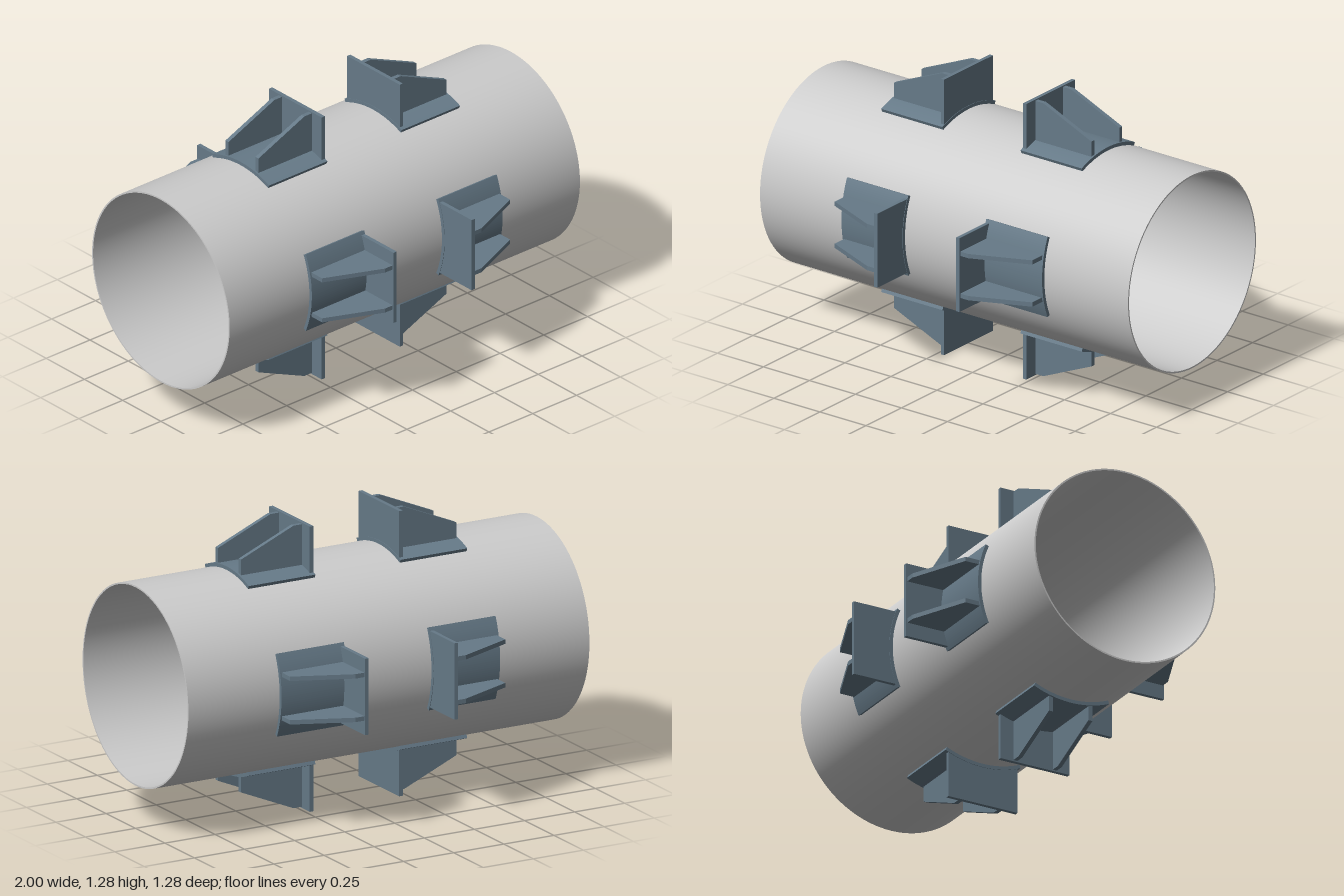
import * as THREE from 'three';

const PIPE_R = 0.45, PIPE_INNER = 0.443, PAD_R = 0.466, TOP_R = 0.642, AXIS_Y = 0.642;
const steel = new THREE.MeshStandardMaterial({ color: 0x667a88 });
const grey = new THREE.MeshStandardMaterial({ color: 0xcccccc });

function addMesh(parent, name, geometry, material) {
  const mesh = new THREE.Mesh(geometry, material);
  mesh.name = name;
  parent.add(mesh);
  return mesh;
}

// Extrude a shape drawn in the (-z, y) plane along x, from x0 to x1
function extrudeAlongX(shape, x0, x1, curveSegments) {
  const g = new THREE.ExtrudeGeometry(shape, { depth: x1 - x0, bevelEnabled: false, curveSegments });
  return g.rotateY(Math.PI / 2).translate(x0, 0, 0);
}

// One support bracket, standing radially outward (+y) from the pipe axis
function createBracket() {
  const bracket = new THREE.Group();
  const mid = Math.PI / 2;

  // Curved saddle pad hugging the pipe
  const half = 0.413;
  const pad = new THREE.Shape();
  pad.absarc(0, 0, PAD_R, mid - half, mid + half, false);
  pad.absarc(0, 0, PIPE_R, mid + half, mid - half, true);
  addMesh(bracket, 'saddlePad', extrudeAlongX(pad, 0.212, 0.545, 20), steel);

  // Upright end plate with its foot cut to the pad's curve
  const w = 0.172, a = Math.asin(w / (PAD_R - 0.003));
  const plate = new THREE.Shape();
  plate.moveTo(w, TOP_R);
  plate.lineTo(-w, TOP_R);
  plate.absarc(0, 0, PAD_R - 0.003, mid + a, mid - a, true);
  plate.closePath();
  addMesh(bracket, 'endPlate', extrudeAlongX(plate, 0.214, 0.232, 20), steel);

  // Pair of sloping gussets behind the plate
  const gusset = new THREE.Shape([
    [0.23, 0.446], [0.537, 0.446], [0.537, 0.524], [0.275, 0.636], [0.23, 0.636],
  ].map(([x, y]) => new THREE.Vector2(x, y)));
  const t = 0.02;
  const gussetGeometry = new THREE.ExtrudeGeometry(gusset, { depth: t, bevelEnabled: false });
  for (const z of [-0.098, 0.098]) {
    addMesh(bracket, 'gusset', gussetGeometry, steel).position.z = z - t / 2;
  }
  return bracket;
}

export function createModel() {
  const model = new THREE.Group();
  model.name = 'pipeWithBrackets';

  // Thin-walled open pipe, lathed as a closed wall section
  const section = [
    [PIPE_INNER, -1], [PIPE_R, -1], [PIPE_R, -1], [PIPE_R, 1],
    [PIPE_R, 1], [PIPE_INNER, 1], [PIPE_INNER, 1], [PIPE_INNER, -1],
  ];
  const pipe = new THREE.Group();
  pipe.name = 'pipe';
  ['endRingRight', 'outerWall', 'endRingLeft', 'innerWall'].forEach((name, i) => {
    const points = section.slice(i * 2, i * 2 + 2).map(([r, y]) => new THREE.Vector2(r, y));
    addMesh(pipe, name, new THREE.LatheGeometry(points, 96), grey);
  });
  pipe.rotation.z = -Math.PI / 2;
  pipe.position.y = AXIS_Y;
  model.add(pipe);

  // Two mirrored rings of four brackets
  for (const [ringName, turn] of [['leftBrackets', 0], ['rightBrackets', Math.PI]]) {
    const ring = new THREE.Group();
    ring.name = ringName;
    for (let i = 0; i < 4; i++) {
      const bracket = createBracket();
      bracket.name = 'bracket';
      bracket.rotation.x = i * Math.PI / 2;
      ring.add(bracket);
    }
    ring.rotation.y = turn;
    ring.position.y = AXIS_Y;
    model.add(ring);
  }
  return model;
}
